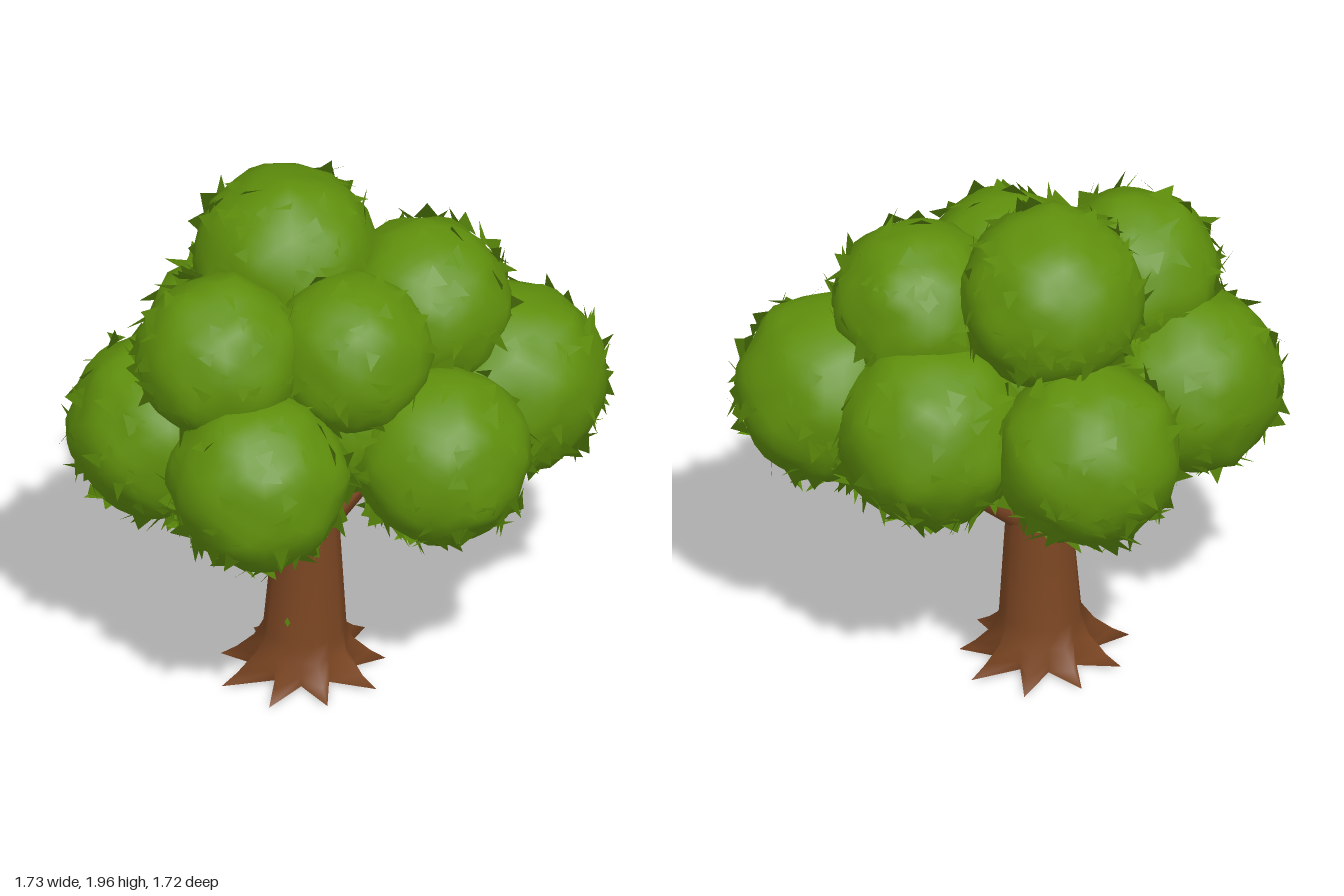
import * as THREE from 'three';
import { mergeVertices, mergeGeometries } from 'three/addons/utils/BufferGeometryUtils.js';

const leafGreen = new THREE.MeshStandardMaterial({ color: 0x5f8f0c, side: THREE.DoubleSide });
leafGreen.name = 'leaf green';
const barkBrown = new THREE.MeshStandardMaterial({ color: 0x7a4522 });
barkBrown.name = 'bark brown';

// Small seeded generator
let seed = 7;
const rand = () => {
  seed = (seed * 16807) % 2147483647;
  return seed / 2147483647;
};

// Leaf clumps: x, y, z, radius
const CLUMPS = {
  crownClump: [-0.24, 1.62, -0.15, 0.33],
  upperFrontClump: [-0.25, 1.48, 0.35, 0.3],
  upperBackClump: [0.24, 1.48, -0.29, 0.31],
  upperLeftClump: [0.15, 1.47, 0.1, 0.29],
  lowerFrontClump: [-0.02, 1.11, 0.5, 0.32],
  lowerFrontRightClump: [-0.48, 1.12, 0.34, 0.34],
  lowerBackRightClump: [-0.5, 1.13, -0.29, 0.33],
  lowerBackClump: [0.04, 1.13, -0.49, 0.34],
  lowerBackLeftClump: [0.49, 1.14, -0.48, 0.34],
  lowerLeftClump: [0.47, 1.09, 0.02, 0.32],
  innerClump: [0, 1.2, 0, 0.38],
};

// True when a point lies inside a clump other than its own
function isBuried(p, own) {
  return Object.values(CLUMPS).some(([x, y, z, r]) =>
    own[0] !== x && Math.hypot(p.x - x, p.y - y, p.z - z) < r * 0.95);
}

// Lumpy ball with leaf points sticking out of it
function clumpGeometry(own) {
  const [x, y, z, r] = own;
  const centre = new THREE.Vector3(x, y, z);
  let ball = new THREE.IcosahedronGeometry(1, 5);
  ball.deleteAttribute('uv');
  ball.deleteAttribute('normal');
  ball = mergeVertices(ball, 1e-3);
  const pos = ball.attributes.position;
  const v = new THREE.Vector3();
  for (let i = 0; i < pos.count; i++) {
    v.fromBufferAttribute(pos, i);
    const wave = Math.sin(v.x * 5 + x * 9) * Math.sin(v.y * 6 + z * 7) * Math.sin(v.z * 5 + y * 8);
    const bump = 1 + 0.05 * wave + (rand() - 0.5) * 0.05;
    v.multiplyScalar(r * bump).add(centre);
    pos.setXYZ(i, v.x, v.y, v.z);
  }
  ball.computeVertexNormals();

  // Leaves: pointed triangles, denser on the underside
  const points = [], normals = [];
  const out = new THREE.Vector3(), side = new THREE.Vector3(), along = new THREE.Vector3();
  for (let i = 0; i < 170; i++) {
    out.set(rand() - 0.5, rand() - 0.5, rand() - 0.5).normalize();
    if (out.y > 0.1 && rand() < 0.6) continue;
    const root = out.clone().multiplyScalar(r * 0.985).add(centre);
    if (isBuried(root, own)) continue;
    side.set(rand() - 0.5, rand() - 0.5, rand() - 0.5).cross(out).normalize();
    along.crossVectors(out, side);
    const w = 0.025 + rand() * 0.025;
    const a = root.clone().addScaledVector(side, -w);
    const b = root.clone().addScaledVector(side, w);
    const tip = root.clone().addScaledVector(along, 0.04 + rand() * 0.04)
      .addScaledVector(out, 0.025 + rand() * 0.035);
    for (const p of [a, b, tip]) {
      points.push(p.x, p.y, p.z);
      normals.push(out.x, out.y, out.z);
    }
  }
  const leaves = new THREE.BufferGeometry();
  leaves.setAttribute('position', new THREE.Float32BufferAttribute(points, 3));
  leaves.setAttribute('normal', new THREE.Float32BufferAttribute(normals, 3));
  return mergeGeometries([ball.toNonIndexed(), leaves]);
}

// Trunk skin: rings of a valley radius and a root-ridge radius
const ROOTS = 9;
const RINGS = [ // y, valley, ridge, centre x
  [0.01, 0.15, 0.31, -0.1], [0.05, 0.155, 0.25, -0.1], [0.11, 0.15, 0.185, -0.1],
  [0.18, 0.14, 0.15, -0.095], [0.45, 0.125, 0.13, -0.09], [0.75, 0.105, 0.108, -0.085],
  [1.2, 0.08, 0.08, -0.08],
];
function trunkGeometry() {
  const n = ROOTS * 2, points = [], index = [];
  RINGS.forEach(([y, valley, ridge, cx], row) => {
    for (let i = 0; i < n; i++) {
      const a = (i / n) * Math.PI * 2 + 0.1;
      const vary = row < 3 ? 1 + 0.06 * Math.sin(i * 2.3) : 1;
      const rad = i % 2 ? valley : ridge * vary;
      points.push(cx + Math.cos(a) * rad, y, -0.01 + Math.sin(a) * rad);
      if (row) {
        const j = (i + 1) % n, lo = (row - 1) * n, hi = row * n;
        index.push(lo + i, hi + i, lo + j, lo + j, hi + i, hi + j);
      }
    }
  });
  // Underside with its own vertices for a sharp rim
  const start = points.length / 3;
  points.push(...points.slice(0, n * 3), -0.1, 0, -0.01);
  for (let i = 0; i < n; i++) index.push(start + i, start + (i + 1) % n, start + n);
  const g = new THREE.BufferGeometry();
  g.setAttribute('position', new THREE.Float32BufferAttribute(points, 3));
  g.setIndex(index);
  g.computeVertexNormals();
  return g;
}

// Tapered limb between two points
function limb(name, from, to, r0, r1) {
  const a = new THREE.Vector3(...from), b = new THREE.Vector3(...to);
  const dir = b.clone().sub(a);
  const mesh = new THREE.Mesh(new THREE.CylinderGeometry(r1, r0, dir.length(), 7), barkBrown);
  mesh.position.copy(a).add(b).multiplyScalar(0.5);
  mesh.quaternion.setFromUnitVectors(new THREE.Vector3(0, 1, 0), dir.normalize());
  mesh.name = name;
  return mesh;
}

export function createModel() {
  seed = 7;
  const tree = new THREE.Group();
  tree.name = 'tree';

  const trunk = new THREE.Mesh(trunkGeometry(), barkBrown);
  trunk.name = 'trunkAndRoots';
  tree.add(trunk);
  tree.add(limb('frontBranch', [-0.12, 0.52, 0.03], [-0.36, 0.92, 0.28], 0.06, 0.035));
  tree.add(limb('backBranch', [-0.07, 0.58, -0.05], [0.15, 0.9, -0.4], 0.06, 0.035));

  // Stray leaf on the bark
  const stray = new THREE.Mesh(new THREE.CircleGeometry(0.02, 4), leafGreen);
  stray.name = 'strayLeaf';
  stray.scale.x = 0.6;
  stray.position.set(-0.09, 0.27, 0.133);
  tree.add(stray);

  const foliage = new THREE.Group();
  foliage.name = 'foliage';
  for (const [name, clump] of Object.entries(CLUMPS)) {
    const mesh = new THREE.Mesh(clumpGeometry(clump), leafGreen);
    mesh.name = name;
    foliage.add(mesh);
  }
  tree.add(foliage);
  return tree;
}
